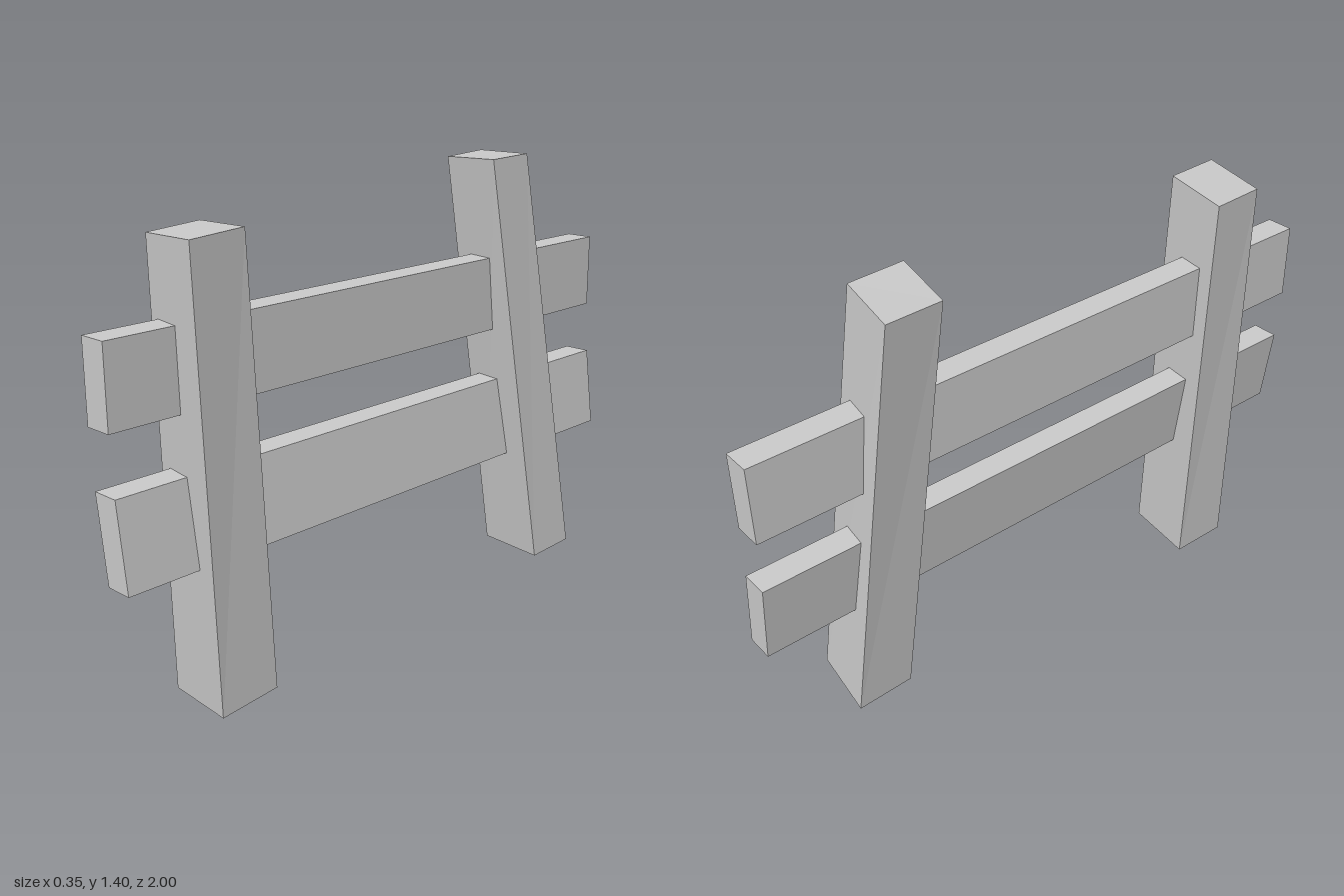
import * as THREE from 'three';

const wood = new THREE.MeshStandardMaterial({ color: 0xcccccc, flatShading: true });
const openWood = new THREE.MeshStandardMaterial({ color: 0xcccccc, flatShading: true, side: THREE.DoubleSide });

// Crooked post: four walls and a top between two corner loops, open underneath.
// Corner order: back right, back left, front left, front right.
function makePost(name, bottom, top) {
  const points = [];
  const quad = (a, b, c, d) => points.push(...a, ...b, ...c, ...a, ...c, ...d);
  for (let i = 0; i < 4; i++) {
    const j = (i + 1) % 4;
    quad(bottom[j], bottom[i], top[i], top[j]);
  }
  quad(top[3], top[2], top[1], top[0]);
  const geometry = new THREE.BufferGeometry();
  geometry.setAttribute('position', new THREE.Float32BufferAttribute(points, 3));
  geometry.computeVertexNormals();
  const mesh = new THREE.Mesh(geometry, openWood);
  mesh.name = name;
  return mesh;
}

// Rail running the full length; lean shifts the top edge sideways against the bottom.
function makeRail(name, x, yLow, yHigh, width, lean) {
  const height = yHigh - yLow;
  const geometry = new THREE.BoxGeometry(width, height, 2);
  const p = geometry.attributes.position;
  for (let i = 0; i < p.count; i++) p.setX(i, p.getX(i) + lean * p.getY(i) / height);
  geometry.computeVertexNormals();
  const mesh = new THREE.Mesh(geometry, wood);
  mesh.position.set(x, (yLow + yHigh) / 2, 0);
  mesh.name = name;
  return mesh;
}

export function createModel() {
  const fence = new THREE.Group();
  fence.name = 'fence';

  // Nearly upright front post
  fence.add(makePost('frontPost',
    [[-0.113, 0.013, 0.54], [0.12, 0.02, 0.568], [0.126, 0.01, 0.768], [-0.107, 0.002, 0.743]],
    [[-0.127, 1.312, 0.578], [0.097, 1.324, 0.612], [0.117, 1.317, 0.804], [-0.107, 1.305, 0.768]]));

  // Leaning rear post
  fence.add(makePost('rearPost',
    [[-0.062, 0.081, -0.755], [0.17, 0.086, -0.723], [0.175, 0.084, -0.538], [-0.057, 0.079, -0.57]],
    [[-0.177, 1.397, -0.637], [0.043, 1.404, -0.598], [0.056, 1.401, -0.416], [-0.163, 1.391, -0.455]]));

  // Upright upper rail and tilted lower rail
  fence.add(makeRail('upperRail', -0.026, 0.85, 1.086, 0.088, 0));
  fence.add(makeRail('lowerRail', 0.001, 0.427, 0.682, 0.086, -0.032));

  return fence;
}
